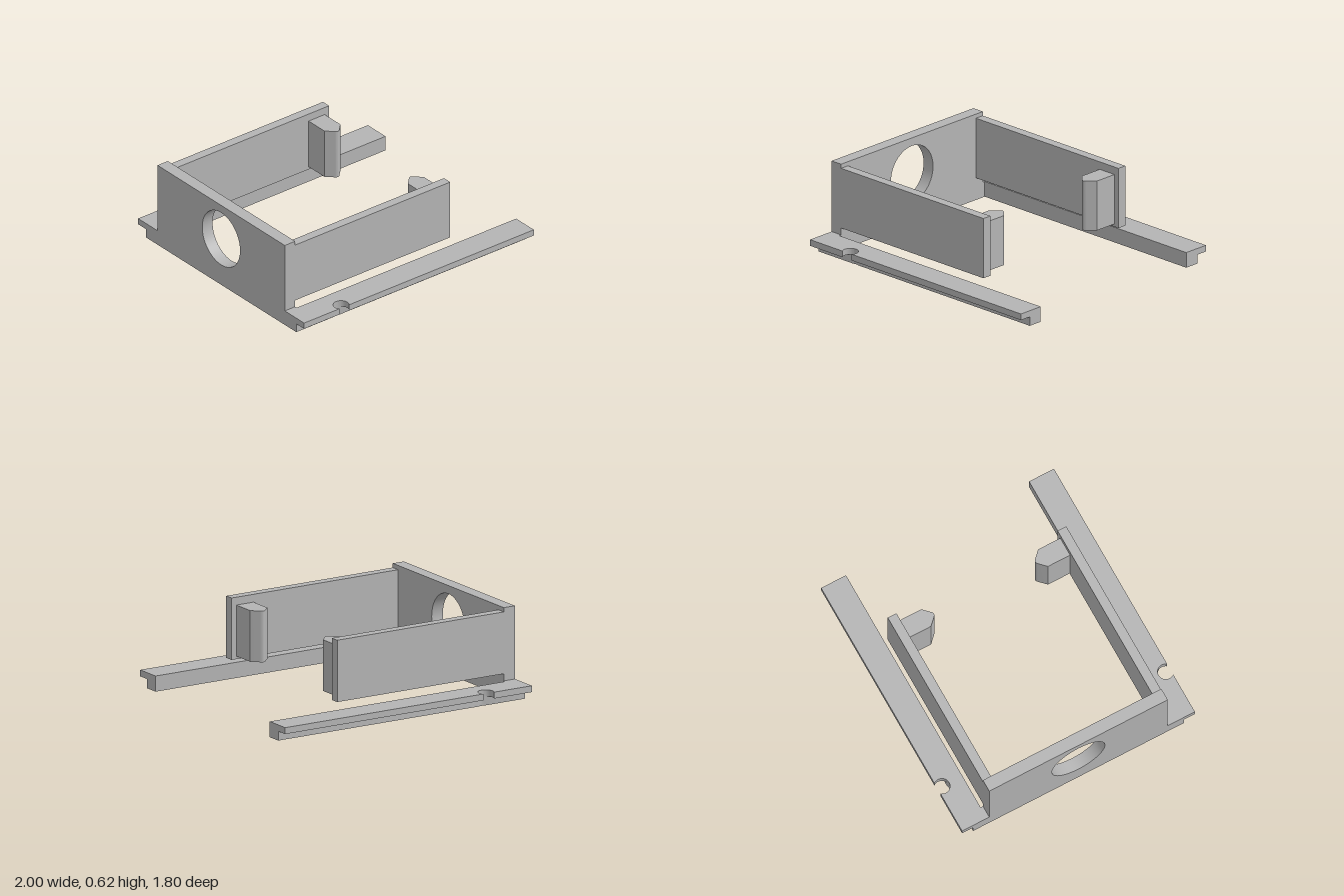
import * as THREE from 'three';
import { toCreasedNormals } from 'three/addons/utils/BufferGeometryUtils.js';

const grey = new THREE.MeshStandardMaterial({ color: 0xb4b4b4 });
grey.name = 'grey plastic';

function addMesh(group, name, geometry) {
  const mesh = new THREE.Mesh(geometry, grey);
  mesh.name = name;
  group.add(mesh);
}

// Extrudes a plan outline of [x, z] points between two heights; side mirrors it in z
function planSlab(points, side, y0, y1) {
  const shape = new THREE.Shape(points.map(([x, z]) => new THREE.Vector2(x, side * z)));
  const geometry = new THREE.ExtrudeGeometry(shape, { depth: y1 - y0, bevelEnabled: false });
  geometry.rotateX(Math.PI / 2).translate(0, y1, 0);
  return toCreasedNormals(geometry, 0.5);
}

// Rail strip whose outer edge is cut by the round screw notch
function notchedStrip(inner, outer) {
  const cx = -0.65, cz = 0.865, r = 0.055;
  const start = Math.asin((outer - cz) / r);
  const end = -Math.PI - start;
  const points = [[-1, outer], [-1, inner], [1, inner], [1, outer]];
  for (let i = 0; i <= 32; i++) {
    const a = start + (end - start) * i / 32;
    points.push([cx + r * Math.cos(a), cz + r * Math.sin(a)]);
  }
  return points;
}

export function createModel() {
  const model = new THREE.Group();
  model.name = 'clip bracket';

  // End plate with its round opening
  const outline = [[-0.71, 0], [0.71, 0], [0.71, 0.11], [0.69, 0.11],
    [0.69, 0.625], [-0.69, 0.625], [-0.69, 0.11], [-0.71, 0.11]];
  const plate = new THREE.Shape(outline.map(([z, y]) => new THREE.Vector2(z, y)));
  const opening = new THREE.Path();
  opening.absarc(0, 0.362, 0.205, 0, Math.PI * 2, true);
  plate.holes.push(opening);
  const plateGeometry = new THREE.ExtrudeGeometry(plate,
    { depth: 0.09, bevelEnabled: false, curveSegments: 48 });
  plateGeometry.rotateY(Math.PI / 2).translate(-1, 0, 0);
  addMesh(model, 'endPlate', toCreasedNormals(plateGeometry, 0.5));

  // Pointed catch with a rounded tip
  const tip = new THREE.QuadraticBezierCurve(
    new THREE.Vector2(0.352, 0.402), new THREE.Vector2(0.332, 0.38), new THREE.Vector2(0.312, 0.402));
  const hook = [[0.262, 0.625], [0.402, 0.625], [0.402, 0.452],
    ...tip.getPoints(8).map(p => [p.x, p.y]), [0.262, 0.452]];

  for (const [side, label] of [[1, 'front'], [-1, 'back']]) {
    // Stepped rail: wide flange over a narrower foot
    addMesh(model, label + 'RailFlange', planSlab(notchedStrip(0.708, 0.9), side, 0.065, 0.11));
    addMesh(model, label + 'RailFoot', planSlab(notchedStrip(0.708, 0.815), side, 0, 0.065));

    // Spring arm and its catch
    const arm = new THREE.BoxGeometry(1.35, 0.435, 0.067);
    arm.translate(-0.235, 0.3775, side * 0.6565);
    addMesh(model, label + 'Arm', arm);
    addMesh(model, label + 'Catch', planSlab(hook, side, 0.18, 0.54));
  }
  return model;
}
